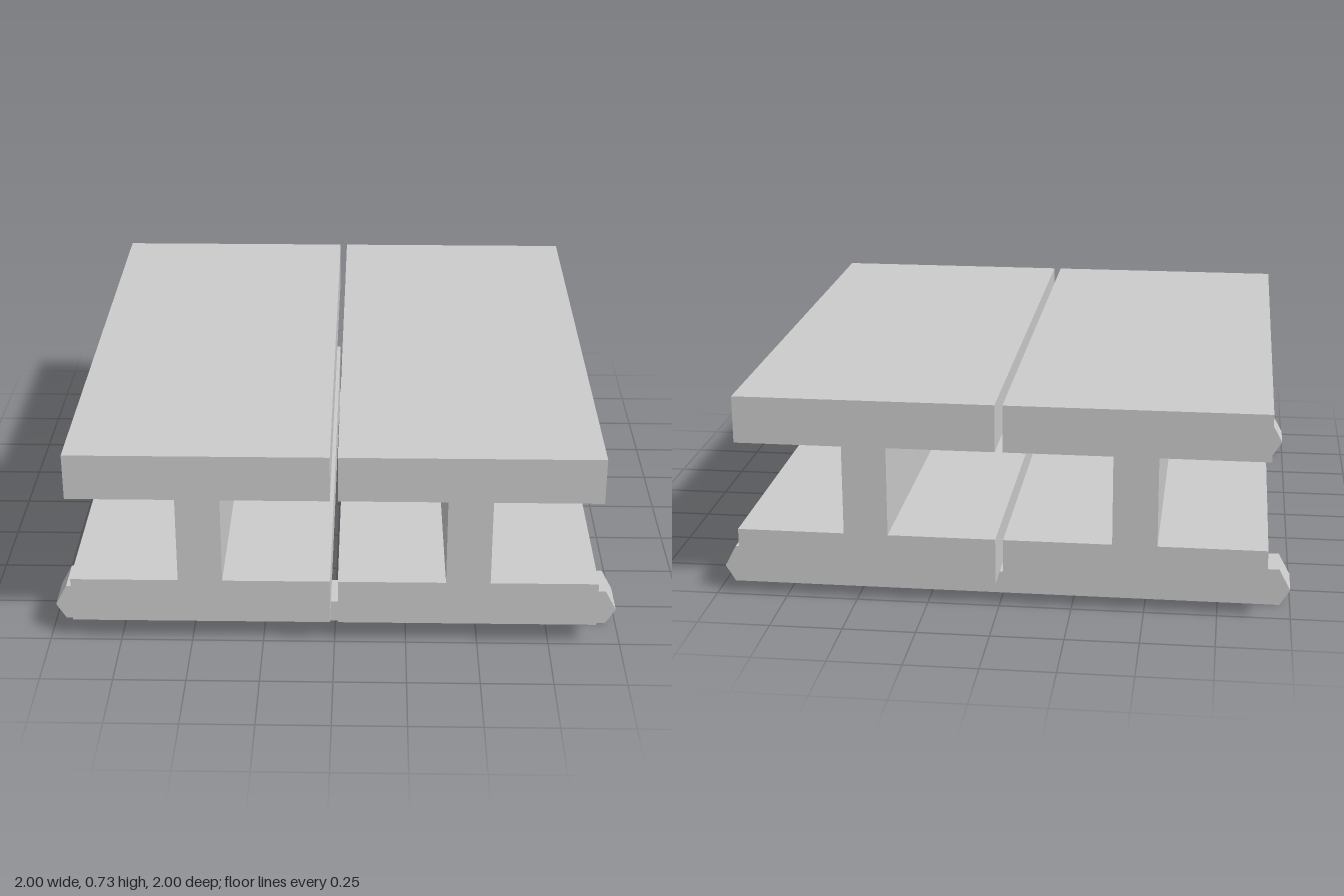
import * as THREE from 'three';

const material = new THREE.MeshStandardMaterial({ color: 0xcccccc, flatShading: true });

// Extrudes an outline in the xy plane from z0 to z1.
function prism(name, points, z0, z1) {
  const shape = new THREE.Shape(points.map(([x, y]) => new THREE.Vector2(x, y)));
  const geometry = new THREE.ExtrudeGeometry(shape, { depth: z1 - z0, bevelEnabled: false });
  geometry.translate(0, 0, z0);
  const mesh = new THREE.Mesh(geometry, material);
  mesh.name = name;
  return mesh;
}

// Closes a right-hand half outline by mirroring it across x = 0.
function mirrored(half) {
  return [...half, ...half.map(([x, y]) => [-x, y]).reverse()];
}

export function createModel() {
  const group = new THREE.Group();
  group.name = 'beamPair';

  // Two I-beams lying side by side with a narrow gap
  const section = mirrored([
    [0.451, 0.08], [0.451, 0.245], [0.077, 0.245],
    [0.077, 0.562], [0.451, 0.562], [0.451, 0.728],
  ]);
  for (const [name, cx] of [['rightBeam', -0.466], ['leftBeam', 0.463]]) {
    const beam = prism(name, section, -1, 1);
    beam.position.x = cx;
    group.add(beam);
  }

  // Cross bars under the beams, with upturned pointed ends that hold them
  const bar = mirrored([
    [0.965, 0], [1, 0.057], [0.96, 0.132], [0.915, 0.132], [0.915, 0.08],
  ]);
  group.add(prism('frontCrossBar', bar, 0.718, 0.863));
  group.add(prism('backCrossBar', bar, -0.884, -0.738));
  return group;
}
